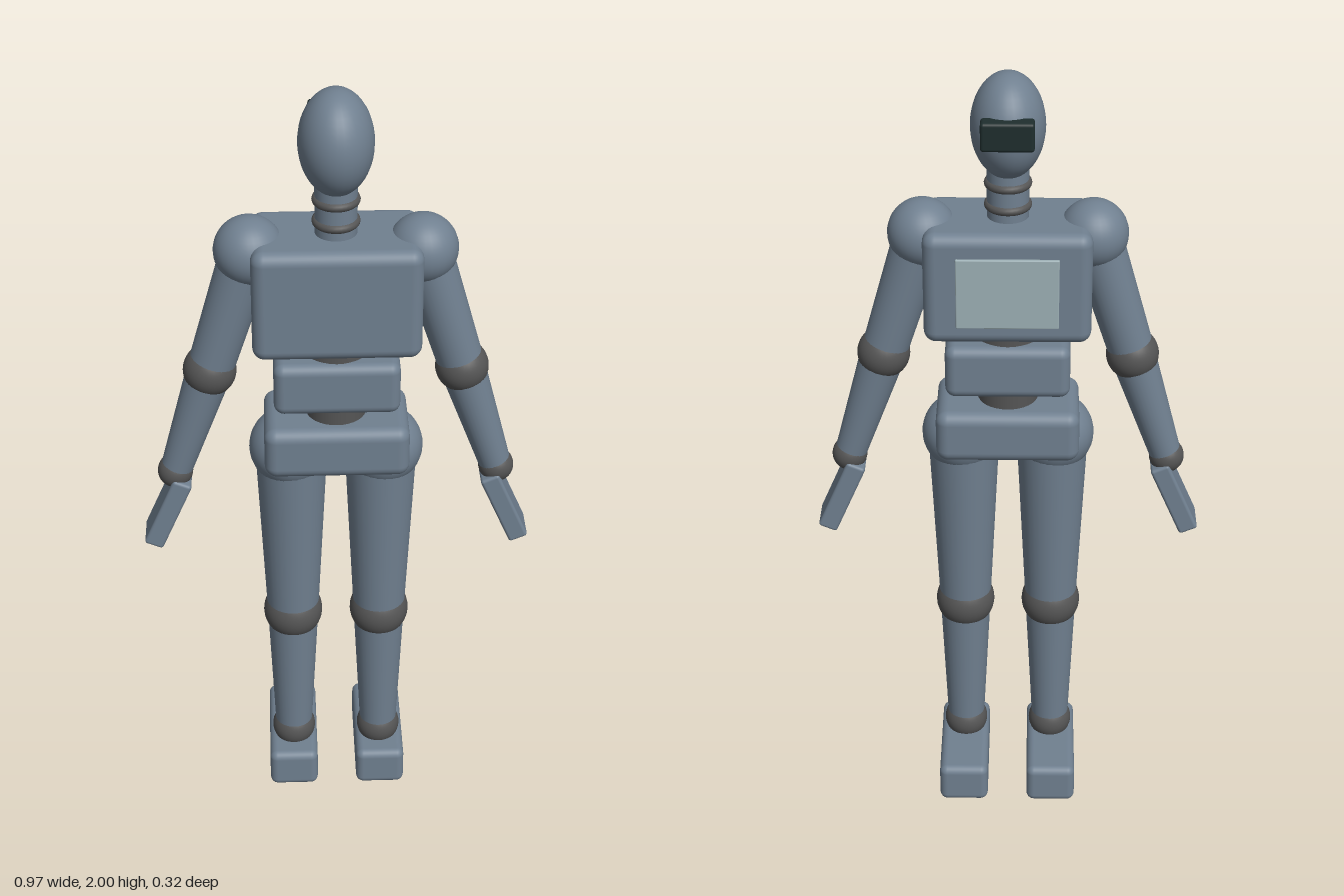
import * as THREE from 'three';
import { RoundedBoxGeometry } from 'three/addons/geometries/RoundedBoxGeometry.js';

const material = (name, color) => {
  const m = new THREE.MeshStandardMaterial({ color });
  m.name = name;
  return m;
};

export function createModel() {
  const shell = material('slate shell', 0x708090);
  const joint = material('dark joint', 0x555555);
  const glass = material('black visor', 0x1f2e2e);
  const plate = material('pale plate', 0x9db0b5);

  const model = new THREE.Group();
  model.name = 'humanoidRobot';
  const Z = 0.04; // depth of the body axis; the face looks along -z

  const add = (name, geometry, mat, x, y, z = Z) => {
    const mesh = new THREE.Mesh(geometry, mat);
    mesh.name = name;
    mesh.position.set(x, y, z);
    model.add(mesh);
    return mesh;
  };
  const box = (name, w, h, d, r, mat, x, y, z) =>
    add(name, new RoundedBoxGeometry(w, h, d, 4, r), mat, x, y, z);
  const ball = (name, r, mat, x, y) =>
    add(name, new THREE.SphereGeometry(r, 32, 24), mat, x, y);
  // Tapered limb between two points in the body plane
  const limb = (name, x1, y1, r1, x2, y2, r2, mat = shell) => {
    const dx = x1 - x2, dy = y1 - y2;
    const geometry = new THREE.CylinderGeometry(r1, r2, Math.hypot(dx, dy), 32);
    const mesh = add(name, geometry, mat, (x1 + x2) / 2, (y1 + y2) / 2);
    mesh.rotation.z = -Math.atan2(dx, dy);
  };

  // Head and visor
  ball('head', 1, shell, 0, 1.873).scale.set(0.088, 0.127, 0.11);
  box('visor', 0.124, 0.07, 0.042, 0.008, glass, 0, 1.89, -0.062);

  // Neck with rings
  limb('neck', 0, 1.79, 0.05, 0, 1.62, 0.05);
  for (const y of [1.675, 1.73]) {
    const ring = add('neckRing', new THREE.TorusGeometry(0.046, 0.011, 12, 32), joint, 0, y);
    ring.rotation.x = Math.PI / 2;
  }

  // Torso blocks joined by dark waist cores
  box('chest', 0.4, 0.285, 0.244, 0.03, shell, 0, 1.5025, 0.038);
  box('chestPlate', 0.244, 0.18, 0.0095, 0.003, plate, 0, 1.5, -0.0875);
  limb('upperWaist', 0, 1.4, 0.084, 0, 1.28, 0.084, joint);
  box('abdomen', 0.304, 0.137, 0.206, 0.025, shell, 0, 1.267, Z);
  limb('lowerWaist', 0, 1.25, 0.074, 0, 1.12, 0.074, joint);
  box('pelvis', 0.354, 0.136, 0.223, 0.03, shell, 0, 1.087, Z);

  for (const [side, s] of [['left', 1], ['right', -1]]) {
    // Arm
    ball(side + 'Shoulder', 0.084, shell, s * 0.203, 1.6);
    limb(side + 'UpperArm', s * 0.205, 1.6, 0.064, s * 0.305, 1.275, 0.056);
    ball(side + 'Elbow', 0.065, joint, s * 0.305, 1.275);
    limb(side + 'Forearm', s * 0.305, 1.275, 0.056, s * 0.4, 0.98, 0.039);
    ball(side + 'Wrist', 0.044, joint, s * 0.4, 0.982);
    const hand = box(side + 'Hand', 0.05, 0.205, 0.095, 0.008, shell, s * 0.422, 0.874, Z);
    hand.rotation.z = s * 0.41;

    // Leg
    ball(side + 'Hip', 0.1, shell, s * 0.115, 1.05);
    limb(side + 'Thigh', s * 0.111, 1.05, 0.09, s * 0.112, 0.535, 0.066);
    ball(side + 'Knee', 0.076, joint, s * 0.112, 0.535);
    limb(side + 'Shin', s * 0.112, 0.535, 0.066, s * 0.114, 0.135, 0.048);
    ball(side + 'Ankle', 0.057, joint, s * 0.114, 0.135);
    box(side + 'Foot', 0.128, 0.11, 0.302, 0.02, shell, s * 0.116, 0.055, -0.008);
  }
  return model;
}
